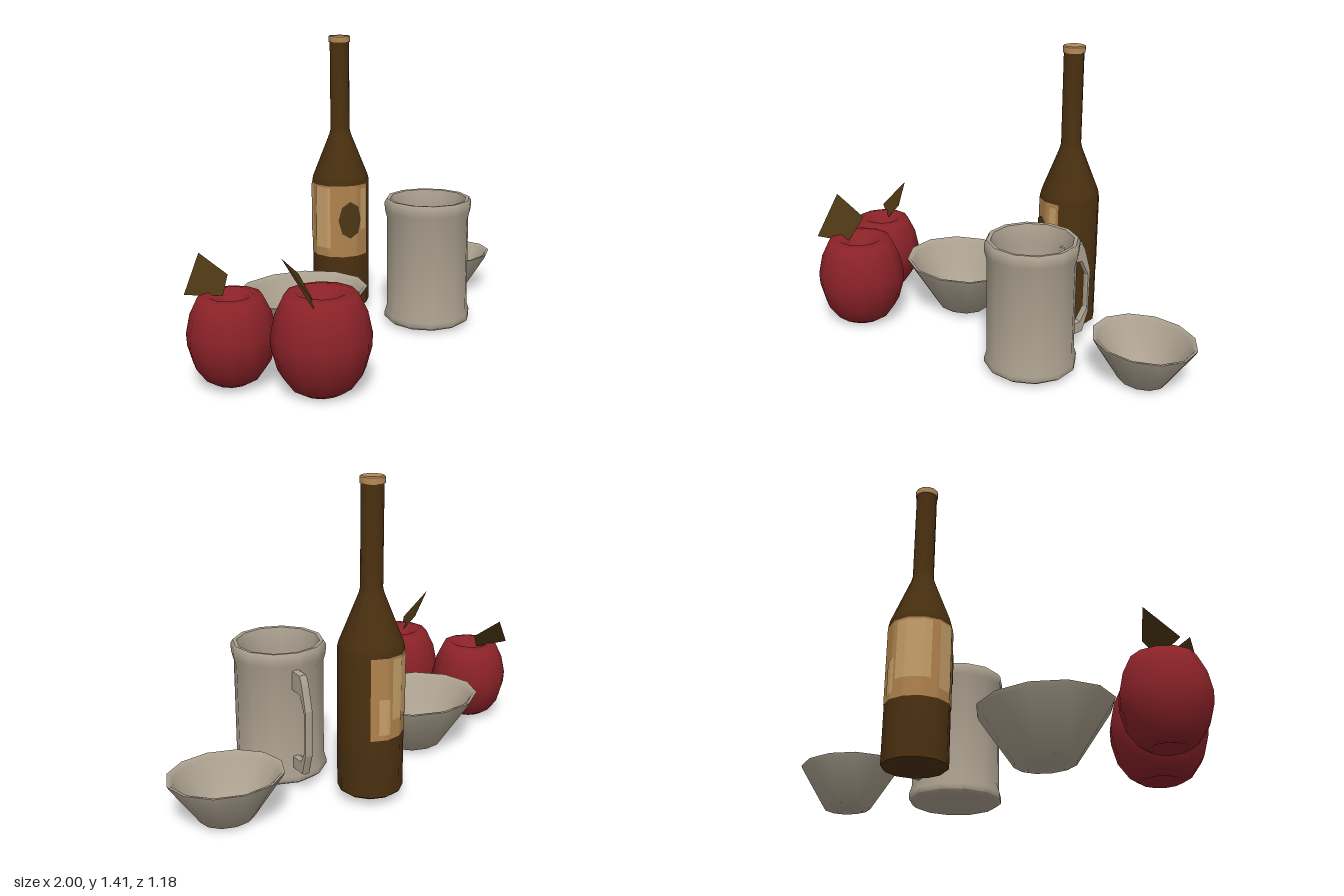
import * as THREE from 'three';
import { toCreasedNormals } from 'three/addons/utils/BufferGeometryUtils.js';

const V = (pts) => pts.map(([x, y]) => new THREE.Vector2(x, y));
const rad = THREE.MathUtils.degToRad;

export function createModel() {
  const root = new THREE.Group();
  const mat = (name, color, side = THREE.FrontSide) => {
    const m = new THREE.MeshStandardMaterial({ color, side });
    m.name = name;
    return m;
  };
  const clay = mat('clay', 0xaba08f);
  const glass = mat('brown glass', 0x4a3010);
  const cork = mat('cork', 0xb58a58);
  const paper = mat('label paper', 0xb0834e, THREE.DoubleSide);
  const palePaper = mat('pale label paper', 0xc6a06a, THREE.DoubleSide);
  const emblemBrown = mat('emblem brown', 0x4c3716, THREE.DoubleSide);
  const apple = mat('apple red', 0x8a2228);
  const leaf = mat('leaf', 0x4a3512, THREE.DoubleSide);

  const group = (name, x, y, z) => {
    const g = new THREE.Group();
    g.name = name;
    g.position.set(x, y, z);
    root.add(g);
    return g;
  };
  const add = (parent, name, geo, material) => {
    const m = new THREE.Mesh(geo, material);
    m.name = name;
    parent.add(m);
    return m;
  };
  const lathe = (pts, sides = 12, crease = 0.75) =>
    toCreasedNormals(new THREE.LatheGeometry(V(pts), sides), crease);

  // Bottle
  const R = 0.144;
  const bottle = group('bottle', 0.1, 0, -0.445);
  add(bottle, 'bottleGlass', lathe([
    [0, 0.04], [0.132, 0.04], [R, 0.05], [R, 0.69], [0.138, 0.715],
    [0.054, 0.925], [0.048, 0.95], [0.048, 1.385], [0, 1.385],
  ]), glass);
  add(bottle, 'cork', lathe([
    [0, 1.383], [0.053, 1.383], [0.053, 1.41], [0.048, 1.415], [0, 1.415],
  ]), cork);

  // Label pieces: flat geometry (x = degrees round the bottle, y = height) wrapped on its twelve sides
  const wrap = (geo, lift) => {
    const p = geo.attributes.position;
    for (let i = 0; i < p.count; i++) {
      const a = p.getX(i);
      const inFacet = (((a % 30) + 30) % 30) - 15;
      const r = R * Math.cos(rad(15)) / Math.cos(rad(inFacet)) + lift;
      p.setXYZ(i, r * Math.sin(rad(a)), p.getY(i), r * Math.cos(rad(a)));
    }
    geo.computeVertexNormals();
    return geo;
  };
  const patch = (a0, a1, y0, y1, lift) => wrap(
    new THREE.PlaneGeometry(a1 - a0, y1 - y0, Math.ceil((a1 - a0) / 5), 1)
      .translate((a0 + a1) / 2, (y0 + y1) / 2, 0), lift);
  add(bottle, 'label', patch(-210, 30, 0.315, 0.68, 0.002), paper);
  [[-90, -55, 0.36, 0.67], [10, 25, 0.45, 0.66], [-170, -105, 0.4, 0.67], [-195, -175, 0.34, 0.5]]
    .forEach(([a0, a1, y0, y1]) =>
      add(bottle, 'palePatch', patch(a0, a1, y0, y1, 0.004), palePaper));
  add(bottle, 'emblem', wrap(new THREE.RingGeometry(0.01, 1, 8, 6)
    .scale(24, 0.095, 1).translate(-14, 0.505, 0), 0.006), emblemBrown);

  // Mug with a hollow inside
  const mug = group('mug', 0.345, 0, -0.035);
  add(mug, 'mugBody', lathe([
    [0, 0.015], [0.195, 0.015], [0.214, 0.03], [0.214, 0.055], [0.203, 0.09],
    [0.203, 0.54], [0.214, 0.58], [0.216, 0.62], [0.205, 0.637], [0.188, 0.635],
    [0.178, 0.6], [0.172, 0.54], [0.172, 0.09], [0.15, 0.065], [0, 0.06],
  ], 12, 0.9), clay);
  const handleShape = new THREE.Shape(V([
    [0.16, 0.56], [0.275, 0.56], [0.295, 0.52], [0.328, 0.41], [0.325, 0.2], [0.29, 0.1], [0.16, 0.09],
    [0.16, 0.15], [0.27, 0.16], [0.308, 0.22], [0.308, 0.39], [0.27, 0.465], [0.16, 0.465],
  ]));
  add(mug, 'mugHandle', new THREE.ExtrudeGeometry(handleShape, {
    depth: 0.018, bevelThickness: 0.008, bevelSize: 0.004, bevelOffset: -0.004, bevelSegments: 1,
  }).rotateY(Math.PI / 2).translate(0, 0, 0), clay);

  // Bowls, slightly oval
  const bowl = (name, x, z, rx, rz, y0, y1, base) => {
    const h = y1 - y0;
    const b = group(name, x, y0, z);
    add(b, name + 'Shell', lathe([
      [0, 0], [base, 0], [0.97, 0.92 * h], [1, h], [0.95, h], [0.9, 0.92 * h],
      [0.68, 0.5 * h], [0.45, 0.2 * h], [0.25, 0.12 * h], [0, 0.1 * h],
    ], 12).scale(rx, 1, rz), clay);
  };
  bowl('largeBowl', -0.339, -0.112, 0.317, 0.274, 0.028, 0.275, 0.45);
  bowl('smallBowl', 0.742, -0.364, 0.253, 0.219, 0.018, 0.216, 0.47);

  // Apples with a dimple at both ends
  const appleProfile = [
    [0, 0.05], [0.04, 0.02], [0.09, 0.003], [0.135, 0.03], [0.185, 0.1], [0.21, 0.19], [0.213, 0.25],
    [0.193, 0.345], [0.152, 0.43], [0.11, 0.438], [0.06, 0.405], [0, 0.36],
  ];
  // Each leaf is a folded four-cornered blade
  const makeApple = (name, x, y, z, s, corners) => {
    const g = group(name, x, y, z);
    add(g, name + 'Fruit', lathe(appleProfile, 12, 1.1).scale(s, s, s), apple);
    const geo = new THREE.BufferGeometry();
    geo.setAttribute('position', new THREE.Float32BufferAttribute(corners.flat(), 3));
    geo.setIndex([0, 1, 2, 0, 2, 3]);
    geo.translate(-x, -y, -z);
    const flat = geo.toNonIndexed();
    flat.computeVertexNormals();
    add(g, name + 'Leaf', flat, leaf);
  };
  makeApple('frontApple', -0.54, 0, 0.37, 1,
    [[-0.735, 0.615, 0.39], [-0.61, 0.51, 0.31], [-0.595, 0.405, 0.41], [-0.68, 0.435, 0.535]]);
  makeApple('backApple', -0.812, 0.015, 0.092, 0.885,
    [[-0.868, 0.55, -0.08], [-0.78, 0.46, 0.01], [-0.825, 0.385, 0.05], [-0.978, 0.405, 0]]);

  return root;
}
